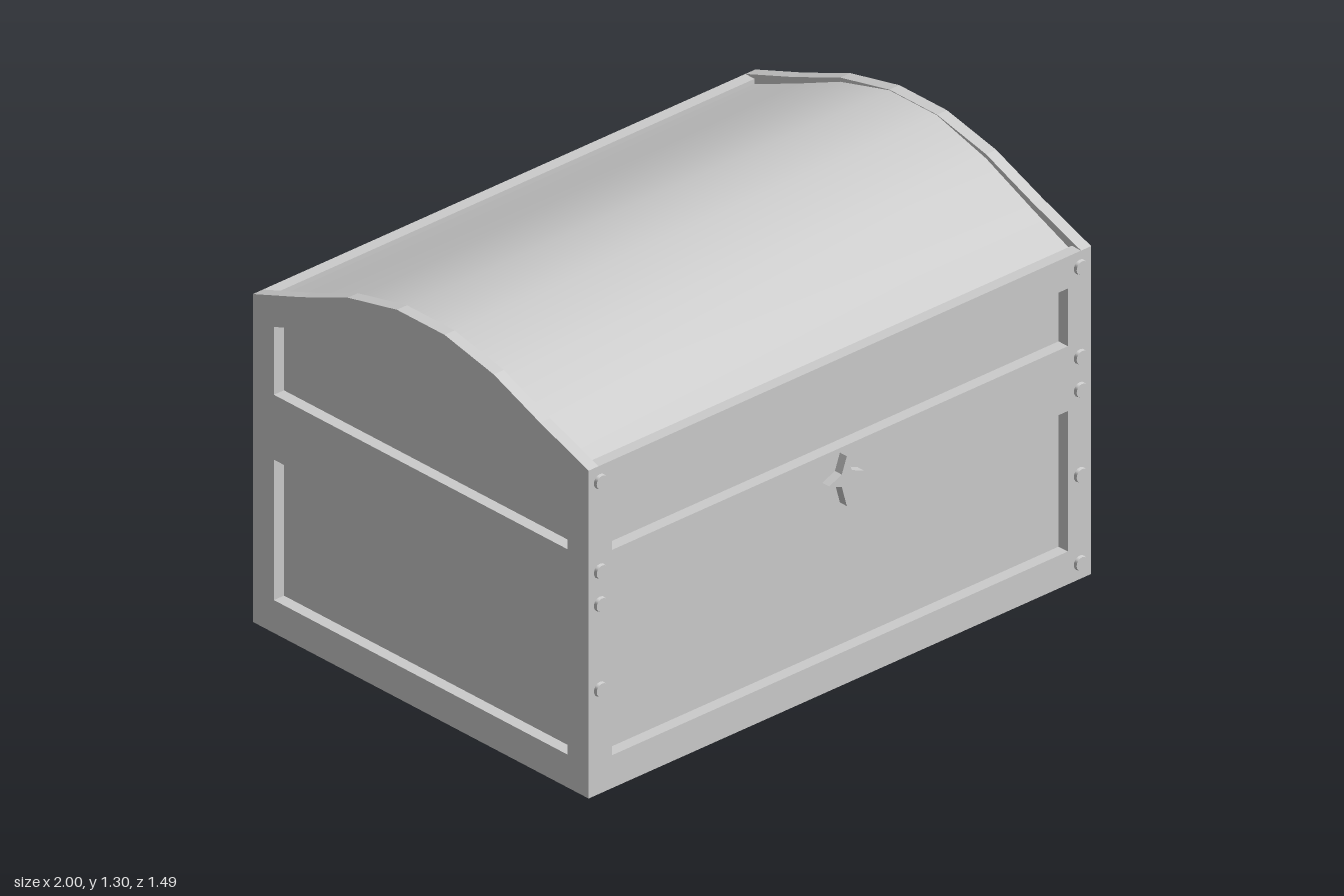
import * as THREE from 'three';
import { toCreasedNormals } from 'three/addons/utils/BufferGeometryUtils.js';

const material = new THREE.MeshStandardMaterial({ color: 0xcccccc });
const FRONT = 0.715, BACK = -0.735, MID = -0.01; // z extents and middle of the chest
const T = 0.04;                                  // frame thickness = panel recess
const SEAM = 0.69;                               // height where the lid meets the body

const rect = (u0, u1, y0, y1) => [[u0, y0], [u1, y0], [u1, y1], [u0, y1]];
const points = (list) => list.map(([u, y]) => new THREE.Vector2(u, y));

// Mirrors half of an arch, given as [distance from middle, y] from eave to crown
function arch(half) {
  const front = half.map(([d, y]) => [MID + d, y]);
  const back = half.map(([d, y]) => [MID - d, y]).reverse();
  return [...front, ...back];
}

function extrude(outline, hole, depth) {
  const shape = new THREE.Shape(points(outline));
  if (hole) shape.holes.push(new THREE.Path(points(hole)));
  return new THREE.ExtrudeGeometry(shape, { depth, bevelEnabled: false });
}

// Extrudes a (z, y) outline along x, ending at xMax
function extrudeX(outline, hole, depth, xMax) {
  return extrude(outline, hole, depth).rotateY(-Math.PI / 2).translate(xMax, 0, 0);
}

export function createModel() {
  const model = new THREE.Group();
  model.name = 'chest';
  const body = new THREE.Group();
  body.name = 'body';
  const lid = new THREE.Group();
  lid.name = 'lid';
  model.add(body, lid);

  function add(parent, name, geometry) {
    const mesh = new THREE.Mesh(geometry, material);
    mesh.name = name;
    parent.add(mesh);
    return mesh;
  }

  // Recessed panels: plain box below, vaulted block above
  add(body, 'bodyPanels', extrudeX(rect(BACK + T, FRONT - T, 0, SEAM), null, 2 - 2 * T, 1 - T));
  const vault = arch([[0.685, 1.08], [0.515, 1.15], [0.315, 1.238], [0.103, 1.296]]);
  const vaultOutline = [[BACK + T, SEAM], [FRONT - T, SEAM], ...vault];
  add(lid, 'lidVault', toCreasedNormals(extrudeX(vaultOutline, null, 2 - 2 * T, 1 - T), 0.6));

  // Front and back frames
  for (const [side, z] of [['front', FRONT - T], ['back', BACK]]) {
    const bodyFrame = extrude(rect(-1 + T, 1 - T, 0, SEAM), rect(-0.907, 0.907, 0.11, 0.58), T);
    add(body, side + 'BodyFrame', bodyFrame.translate(0, 0, z));
    const lidFrame = extrude(rect(-1 + T, 1 - T, SEAM, 1.097), rect(-0.907, 0.907, 0.797, 0.99), T);
    add(lid, side + 'LidFrame', lidFrame.translate(0, 0, z));
  }

  // End frames, the upper ones arched
  const outer = arch([[0.725, 1.097], [0.515, 1.172], [0.315, 1.252], [0.103, 1.298]]);
  const inner = arch([[0.634, 1.024], [0.515, 1.066], [0.315, 1.147], [0.103, 1.191]]);
  const archOutline = [[BACK, SEAM], [FRONT, SEAM], ...outer];
  const archHole = [[MID - 0.634, 0.797], [MID + 0.634, 0.797], ...inner];
  for (const [side, xMax] of [['left', 1], ['right', -1 + T]]) {
    add(body, side + 'BodyFrame',
      extrudeX(rect(BACK, FRONT, 0, SEAM), rect(MID - 0.634, MID + 0.634, 0.11, 0.58), T, xMax));
    add(lid, side + 'LidFrame', extrudeX(archOutline, archHole, T, xMax));
  }

  // Studs down the corner posts; the front one at the lower right is missing
  const studGeometry = toCreasedNormals(
    new THREE.CylinderGeometry(0.022, 0.026, 0.02, 16).rotateX(Math.PI / 2), 0.8);
  for (const y of [0.055, 0.35, 0.635, 0.745, 1.045]) {
    for (const x of [-0.955, 0.955]) {
      for (const front of [true, false]) {
        if (front && x < 0 && y < 0.1) continue;
        const stud = add(y < SEAM ? body : lid, 'stud', studGeometry);
        stud.position.set(x, y, front ? FRONT : BACK);
        if (!front) stud.rotation.y = Math.PI;
      }
    }
  }

  // Four-pointed clasp across the seam
  const star = [[0, 0.615], [0.02, 0.686], [0.07, 0.707], [0.02, 0.728],
    [0, 0.782], [-0.02, 0.728], [-0.07, 0.707], [-0.02, 0.686]];
  add(lid, 'clasp', extrude(star, null, 0.03).translate(0, 0, FRONT));

  return model;
}
